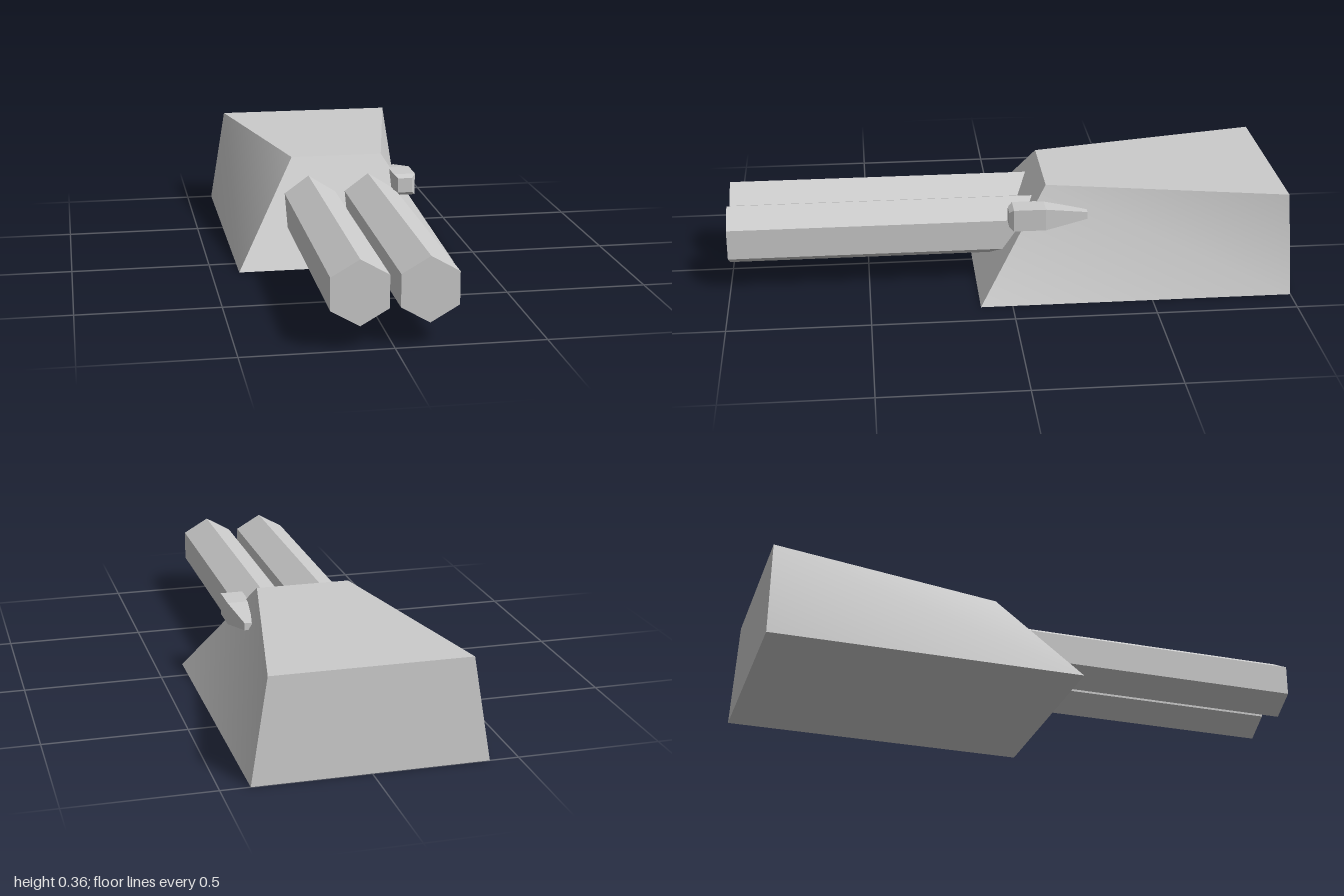
import * as THREE from 'three';
import { toCreasedNormals } from 'three/addons/utils/BufferGeometryUtils.js';

// Closed solid through four-cornered rings, each counter-clockwise seen from the end of the loft
function loft(rings) {
  const pos = [];
  const tri = (...pts) => pts.forEach((p) => pos.push(...p));
  const quad = (a, b, c, d) => { tri(a, b, d); tri(b, c, d); };
  for (let r = 0; r < rings.length - 1; r++) {
    const lo = rings[r], hi = rings[r + 1];
    for (let i = 0; i < 4; i++) {
      const j = (i + 1) % 4;
      quad(lo[i], lo[j], hi[j], hi[i]);
    }
  }
  quad(...rings[rings.length - 1]);
  quad(...[...rings[0]].reverse());
  const geo = new THREE.BufferGeometry();
  geo.setAttribute('position', new THREE.Float32BufferAttribute(pos, 3));
  geo.computeVertexNormals();
  return geo;
}

export function createModel() {
  const group = new THREE.Group();
  const mat = new THREE.MeshStandardMaterial({ color: 0xcccccc, flatShading: true });
  const hullMat = new THREE.MeshStandardMaterial({ color: 0xcccccc });
  const add = (name, geo, material = mat) => {
    const mesh = new THREE.Mesh(geo, material);
    mesh.name = name;
    group.add(mesh);
    return mesh;
  };

  // Turret housing: rectangular base, roof narrowing to the front
  const deck = (y, front, zFront, back, zBack) => [
    [-front, y, zFront], [front, y, zFront], [back, y, zBack], [-back, y, zBack],
  ];
  const hull = loft([
    deck(0, 0.4, 0.113, 0.4, -1),
    deck(0.363, 0.17, -0.14, 0.34, -0.987),
  ]);
  // Creased so each slightly twisted side reads as one face
  add('turretHousing', toCreasedNormals(hull, 0.6), hullMat);

  // Twin hexagonal barrels, rear ends buried in the sloping front
  const zMuzzle = 1, zRear = -0.12;
  for (const side of [-1, 1]) {
    const geo = new THREE.CylinderGeometry(0.11, 0.11, zMuzzle - zRear, 6);
    geo.rotateX(Math.PI / 2);
    add(side > 0 ? 'leftBarrel' : 'rightBarrel', geo)
      .position.set(side * 0.113, 0.19, (zMuzzle + zRear) / 2);
  }

  // Sight pod: square section, bevelled nose, tapered tail
  const square = (z, h) => [[-h, -h, z], [h, -h, z], [h, h, z], [-h, h, z]];
  const pod = loft([
    square(-0.282, 0.013), square(-0.13, 0.04), square(-0.016, 0.04), square(0, 0.027),
  ]);
  add('sightPod', pod).position.set(0.236, 0.272, 0);

  return group;
}
